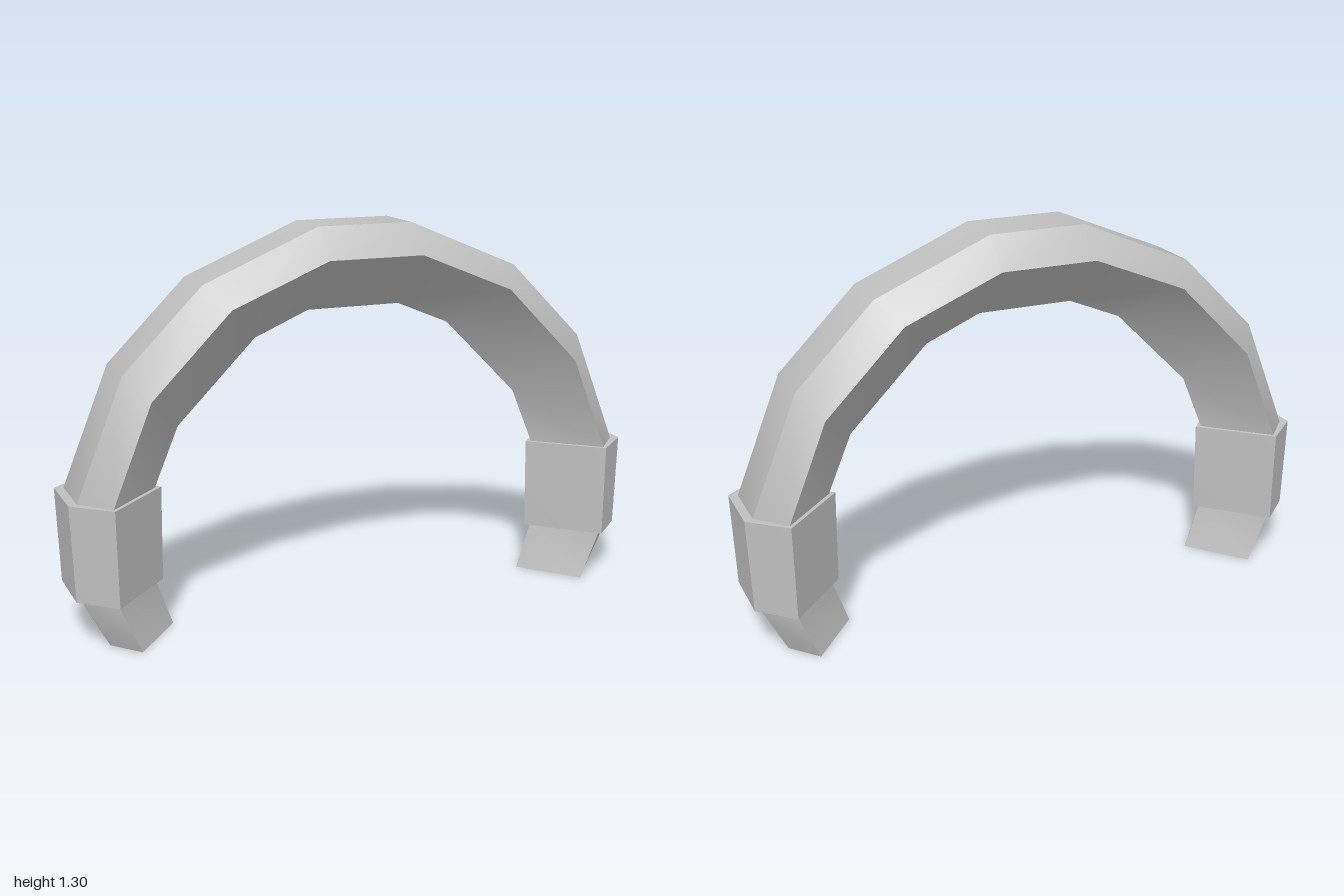
import * as THREE from 'three';
import { toCreasedNormals } from 'three/addons/utils/BufferGeometryUtils.js';

// Lofts a five-sided section (flat outer edge, bevels, V-shaped inside) along a path.
// Each row holds [outer, middle, inner] points as [x, y].
function loft(rows, outerZ, middleZ) {
  const positions = [];
  const index = [];
  for (const [o, m, i] of rows) {
    positions.push(
      ...o, outerZ, ...m, middleZ, ...i, 0, ...m, -middleZ, ...o, -outerZ
    );
  }
  for (let r = 0; r < rows.length - 1; r++) {
    for (let j = 0; j < 5; j++) {
      const a = r * 5 + j, b = r * 5 + (j + 1) % 5;
      index.push(a, a + 5, b + 5, a, b + 5, b);
    }
  }
  // End caps
  const e = (rows.length - 1) * 5;
  for (let j = 1; j < 4; j++) {
    index.push(0, j, j + 1, e, e + j + 1, e + j);
  }
  const geometry = new THREE.BufferGeometry();
  geometry.setAttribute('position', new THREE.Float32BufferAttribute(positions, 3));
  geometry.setIndex(index);
  return toCreasedNormals(geometry, 0.6);
}

// Mirrors rows to the other side, keeping the path direction consistent
const mirror = rows => rows.map(row => row.map(([x, y]) => [-x, y])).reverse();

export function createModel() {
  const group = new THREE.Group();
  const grey = new THREE.MeshStandardMaterial({ color: 0xc0c0c0 });
  grey.name = 'light grey';

  const add = (name, geometry) => {
    const mesh = new THREE.Mesh(geometry, grey);
    mesh.name = name;
    group.add(mesh);
  };

  // Arched band, from the left foot up to the crown
  const half = [
    [[0.888, 0], [0.807, 0], [0.652, 0]],
    [[0.972, 0.165], [0.877, 0.165], [0.708, 0.165]],
    [[0.972, 0.48], [0.88, 0.48], [0.695, 0.48]],
    [[0.813, 0.873], [0.75, 0.803], [0.615, 0.67]],
    [[0.55, 1.135], [0.487, 1.067], [0.348, 0.937]],
    [[0.163, 1.297], [0.163, 1.2], [0.163, 1.015]],
  ];
  add('archBand', loft([...half, ...mirror(half)], 0.095, 0.19));

  // Cuffs wrapped around both lower ends
  const cuff = [
    [[0.99, 0.165], [0.877, 0.163], [0.681, 0.16]],
    [[1.0, 0.482], [0.88, 0.48], [0.676, 0.475]],
  ];
  add('leftCuff', loft(cuff, 0.105, 0.208));
  add('rightCuff', loft(mirror(cuff), 0.105, 0.208));

  return group;
}
